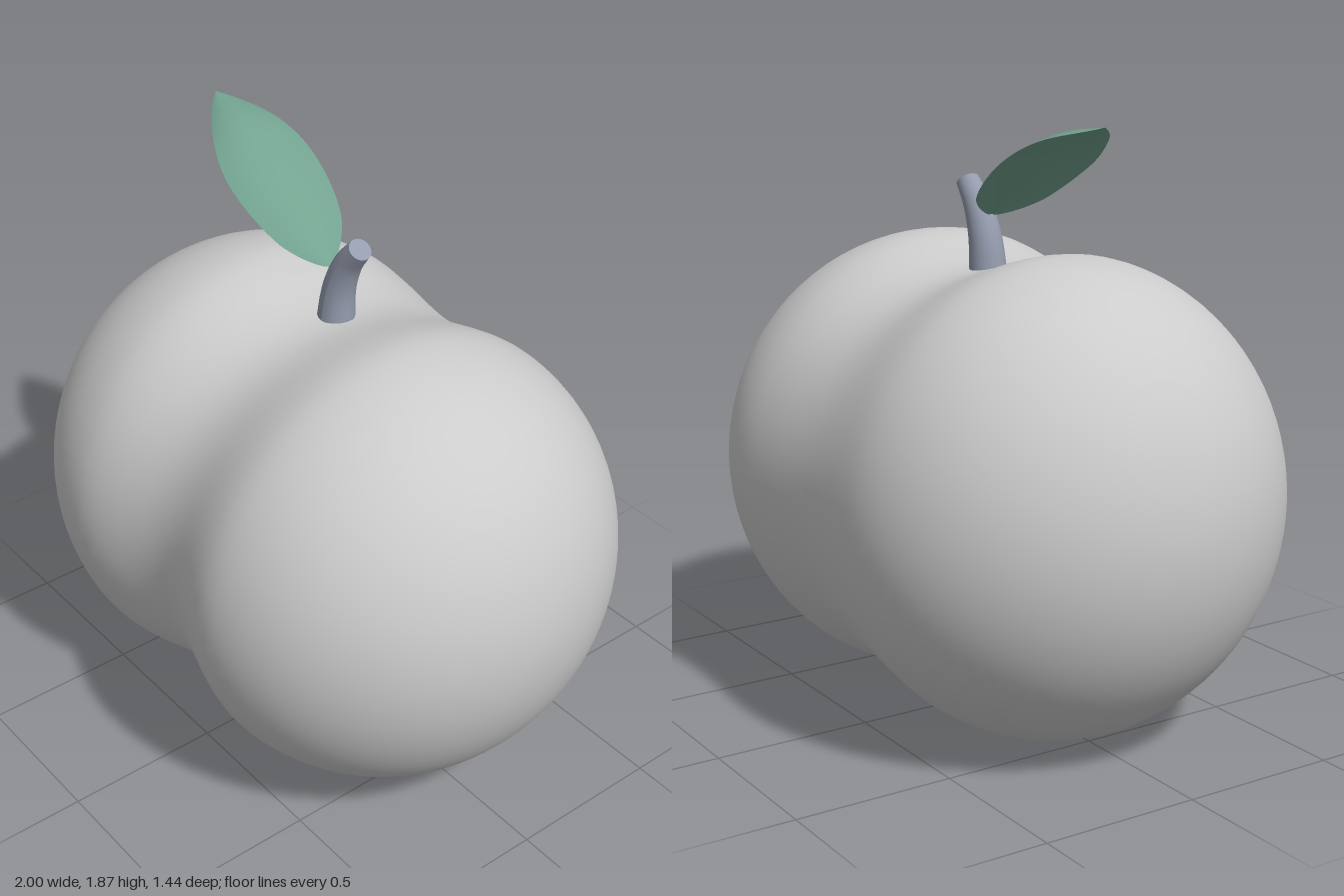
import * as THREE from 'three';
import { mergeVertices } from 'three/addons/utils/BufferGeometryUtils.js';

const V = (x, y, z) => new THREE.Vector3(x, y, z);

// Move every vertex of a geometry by a rule, then refresh the normals
function deform(geo, rule) {
  const pos = geo.attributes.position;
  for (let i = 0; i < pos.count; i++) {
    const p = rule(V().fromBufferAttribute(pos, i));
    pos.setXYZ(i, p.x, p.y, p.z);
  }
  geo.computeVertexNormals();
  return geo;
}

function part(name, geo, color, side = THREE.FrontSide) {
  const mesh = new THREE.Mesh(geo, new THREE.MeshStandardMaterial({ color, side }));
  mesh.name = name;
  return mesh;
}

// Two-lobed fruit: rings along x, pinched in the middle by a groove
function fruitGeometry() {
  let geo = new THREE.SphereGeometry(1, 80, 64).rotateZ(-Math.PI / 2);
  geo.deleteAttribute('uv');
  geo.deleteAttribute('normal');
  geo = mergeVertices(geo, 1e-5);
  return deform(geo, ({ x, y, z }) => {
    const len = Math.hypot(y, z) || 1;
    const dy = y / len, dz = z / len;
    const u = Math.min(1, Math.max(0, (Math.abs(x) - 0.33) / 0.67));
    const side = THREE.MathUtils.smoothstep(x, -0.35, 0.35);
    const mix = (a, b) => a + (b - a) * side;
    // groove is deep in front and on top, almost flat at the back
    const groove = (1 + Math.cos(Math.PI * Math.min(1, Math.abs(x) / 0.37))) / 2;
    const depth = dy * dy * (dy > 0 ? 0.077 : 0.053) + dz * dz * (dz > 0 ? 0.075 : 0.014);
    const lobe = len < 1e-4 ? 0 : Math.sqrt(1 - u * u);
    const ry = mix(0.739, 0.727) * lobe - groove * depth;
    const rz = mix(0.713, 0.718) * lobe - groove * depth;
    return V(x, mix(0.739, 0.748) + ry * dy, mix(-0.012, 0.003) + rz * dz);
  });
}

// Tapered stem: a cylinder bent along a curve
function stemGeometry() {
  const path = new THREE.CatmullRomCurve3([
    V(-0.01, 1.37, -0.045), V(0, 1.49, -0.05), V(0.035, 1.59, -0.055), V(0.088, 1.66, -0.058),
  ]);
  return deform(new THREE.CylinderGeometry(0.036, 0.06, 1, 20, 12), (v) => {
    const t = THREE.MathUtils.clamp(v.y + 0.5, 0, 1);
    const p = path.getPoint(t), d = path.getTangent(t);
    return V(p.x + d.y * v.x, p.y - d.x * v.x, p.z + v.z);
  });
}

// Pointed leaf: a plane along an arching midline, its edges hanging down
function leafGeometry() {
  const midline = new THREE.CatmullRomCurve3([
    V(-0.02, 1.56, -0.04), V(-0.15, 1.655, -0.06), V(-0.34, 1.78, -0.068),
    V(-0.5, 1.85, -0.08), V(-0.68, 1.875, -0.1),
  ]);
  return deform(new THREE.PlaneGeometry(1, 2, 32, 14), (v) => {
    const t = THREE.MathUtils.clamp(v.x + 0.5, 0, 1);
    const p = midline.getPoint(t);
    const width = Math.pow(Math.max(0, Math.sin(Math.PI * t)), 0.8);
    const sag = (v.y > 0 ? 0.055 : 0.03) * v.y * v.y * width;
    return V(p.x, p.y - sag, p.z + 0.157 * width * v.y);
  });
}

export function createModel() {
  const model = new THREE.Group();
  model.name = 'fruit';
  model.add(
    part('fruitBody', fruitGeometry(), 0xcccccc),
    part('stem', stemGeometry(), 0x959cae),
    part('leaf', leafGeometry(), 0x73a390, THREE.DoubleSide),
  );
  return model;
}
